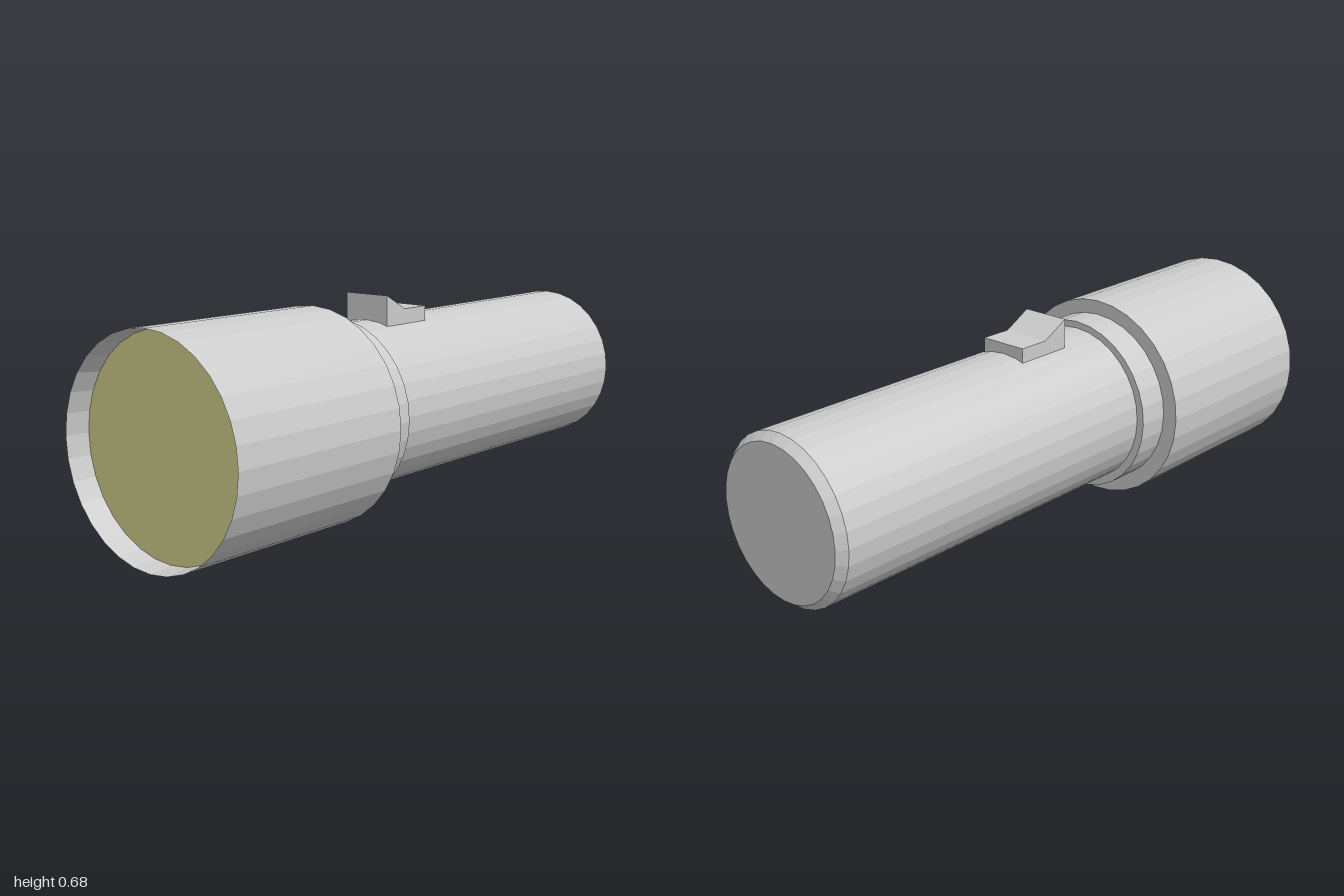
import * as THREE from 'three';

const SIDES = 32;

export function createModel() {
  const group = new THREE.Group();
  const metal = new THREE.MeshStandardMaterial({ color: 0xcccccc });
  metal.name = 'light grey';
  const glass = new THREE.MeshStandardMaterial({ color: 0xcccc88 });
  glass.name = 'pale yellow';

  // Faceted solid of revolution along x; points are [x, radius], running towards +x
  function turned(name, points, material, pivotX, centreY, tilt) {
    const profile = points.map(([x, r]) => new THREE.Vector2(r, x - pivotX));
    const geometry = new THREE.LatheGeometry(profile, SIDES).toNonIndexed();
    geometry.rotateZ(-Math.PI / 2);
    geometry.computeVertexNormals();
    const mesh = new THREE.Mesh(geometry, material);
    mesh.name = name;
    mesh.position.set(pivotX, centreY, 0);
    mesh.rotation.z = -tilt;
    group.add(mesh);
  }

  // Wide head, hollow at its open end, with the lens set inside
  turned('head', [[-0.922, 0.325], [-0.997, 0.333], [-0.333, 0.333], [-0.333, 0]],
    metal, -0.665, 0.3375, 0.01);
  turned('lens', [[-0.922, 0], [-0.922, 0.325]], glass, -0.665, 0.3375, 0.01);

  // Stepped collar
  turned('collar', [[-0.345, 0], [-0.345, 0.283], [-0.228, 0.283], [-0.228, 0]],
    metal, -0.28, 0.338, 0.006);

  // Handle tube with a chamfered closed end
  turned('handle', [[-0.24, 0], [-0.24, 0.258], [0.971, 0.258], [0.998, 0.235], [0.998, 0]],
    metal, 0.385, 0.338, 0.005);

  // Wedge-shaped sliding switch
  const side = new THREE.Shape([
    [-0.08, 0.58], [0.113, 0.58], [0.113, 0.63], [0.01, 0.63], [-0.08, 0.679],
  ].map(([x, y]) => new THREE.Vector2(x, y)));
  const slider = new THREE.Mesh(
    new THREE.ExtrudeGeometry(side, { depth: 0.16, bevelEnabled: false }), metal);
  slider.name = 'switch';
  slider.position.z = -0.078;
  group.add(slider);

  return group;
}
